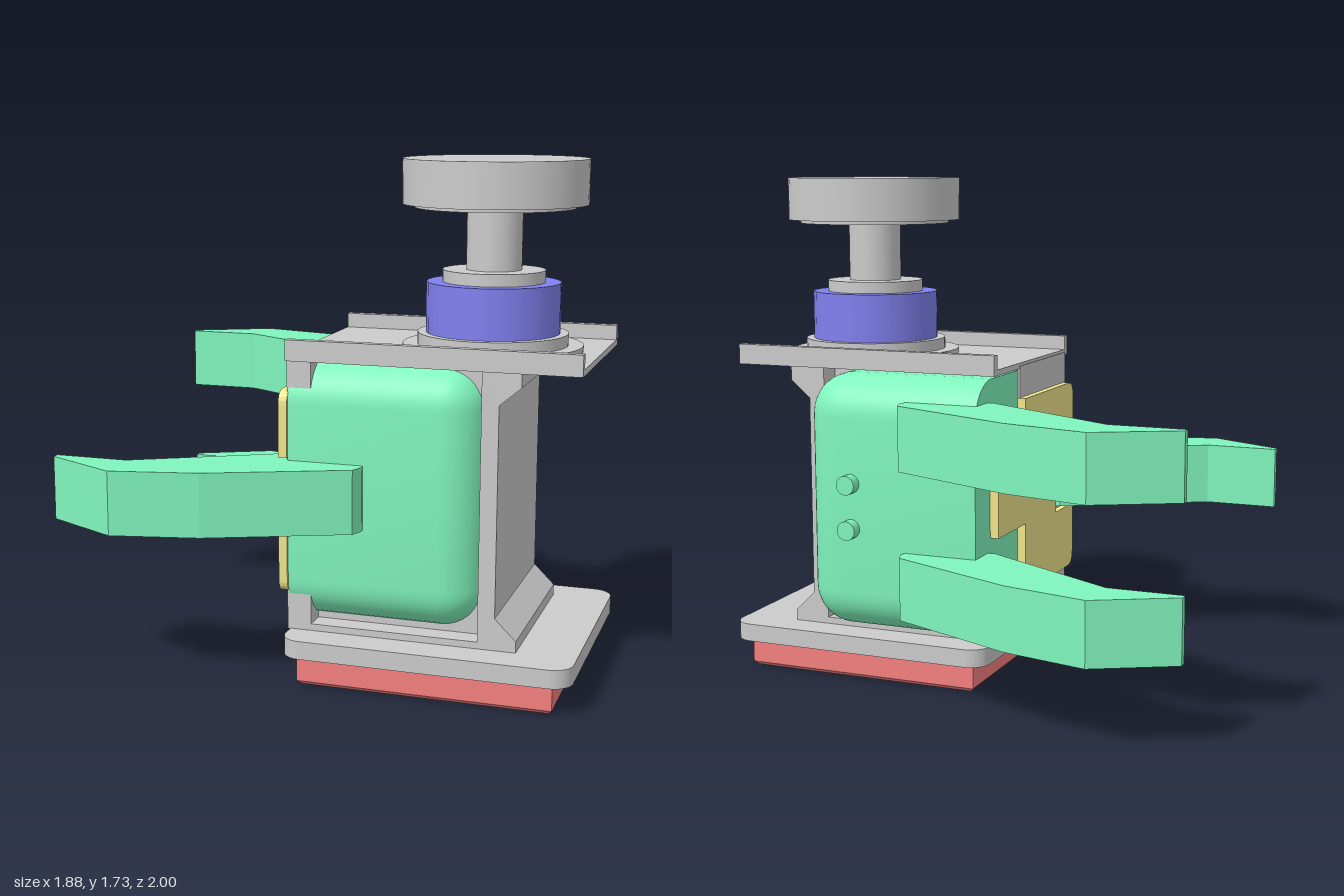
import * as THREE from 'three';
import { toCreasedNormals } from 'three/addons/utils/BufferGeometryUtils.js';
import { RoundedBoxGeometry } from 'three/addons/geometries/RoundedBoxGeometry.js';

const mat = (color) => new THREE.MeshStandardMaterial({ color });
const grey = mat(0xcccccc), green = mat(0x80f5bd), purple = mat(0x8080f0),
  red = mat(0xf58080), yellow = mat(0xf0e68c);

// Local frame: x runs from the finger side to the back, z across the jaws.
const CX = 0.61, CZ = 0.045;   // axis of the piston
const JAW_MID = -0.041;        // mirror plane between the two jaws

export function createModel() {
  const root = new THREE.Group();
  root.name = 'gripper';
  const tool = new THREE.Group();
  tool.name = 'gripperAssembly';
  tool.rotation.y = -Math.PI / 4;
  root.add(tool);

  const add = (name, geo, material) => {
    const mesh = new THREE.Mesh(geo, material);
    mesh.name = name;
    tool.add(mesh);
    return mesh;
  };
  const box = (name, material, x0, x1, y0, y1, z0, z1) => {
    const geo = new THREE.BoxGeometry(x1 - x0, y1 - y0, z1 - z0);
    geo.translate((x0 + x1) / 2, (y0 + y1) / 2, (z0 + z1) / 2);
    return add(name, geo, material);
  };
  const disc = (name, material, r, y0, y1, sides = 48) => {
    const geo = new THREE.CylinderGeometry(r, r, y1 - y0, sides);
    geo.translate(CX, (y0 + y1) / 2, CZ);
    return add(name, geo, material);
  };
  const polygon = (pts) => new THREE.Shape(pts.map(([x, y]) => new THREE.Vector2(x, y)));
  const extrude = (shape, depth) =>
    new THREE.ExtrudeGeometry(shape, { depth, bevelEnabled: false, curveSegments: 6 });
  // Extrudes an (x, z) outline between two heights
  const plan = (name, material, shape, y0, y1) => {
    const geo = extrude(shape, y1 - y0);
    geo.rotateX(Math.PI / 2);
    geo.translate(0, y1, 0);
    return add(name, geo, material);
  };

  // Foot pad with a chamfered lower edge
  const pad = new THREE.BoxGeometry(0.856, 0.1, 0.813, 1, 2, 1);
  const pp = pad.attributes.position;
  for (let i = 0; i < pp.count; i++) {
    const y = pp.getY(i);
    if (Math.abs(y) < 0.01) pp.setY(i, -0.036);
    if (y < -0.04) {
      pp.setX(i, pp.getX(i) - Math.sign(pp.getX(i)) * 0.014);
      pp.setZ(i, pp.getZ(i) - Math.sign(pp.getZ(i)) * 0.014);
    }
  }
  pad.translate(0.488, 0.05, 0.05);
  add('footPad', toCreasedNormals(pad, 0.3), red);

  // Rounded base plate
  const [x0, x1, z0, z1, r] = [0.007, 0.976, -0.396, 0.488, 0.07];
  const base = new THREE.Shape();
  base.absarc(x1 - r, z0 + r, r, -Math.PI / 2, 0);
  base.absarc(x1 - r, z1 - r, r, 0, Math.PI / 2);
  base.absarc(x0 + r, z1 - r, r, Math.PI / 2, Math.PI);
  base.absarc(x0 + r, z0 + r, r, Math.PI, Math.PI * 1.5);
  plan('basePlate', grey, base, 0.1, 0.162);

  // Housing: back wall flared at both ends, front wall and core
  const wall = extrude(polygon([[0.65, 0.16], [0.778, 0.16], [0.778, 0.2], [0.707, 0.27],
    [0.707, 0.97], [0.778, 1.03], [0.778, 1.09], [0.65, 1.09]]), 0.651);
  wall.translate(0, 0, -0.283);
  add('backWall', wall, grey);
  box('frontWall', grey, -0.003, 0.08, 0.16, 1.09, -0.08, 0.368);
  box('housingCore', grey, 0.02, 0.655, 0.16, 1.09, -0.2, 0.29);
  box('jawGuide', grey, 0.02, 0.655, 0.16, 0.185, -0.283, 0.368);

  // Top plate with a rail along each side
  box('topPlate', grey, 0, 0.973, 1.08, 1.1, -0.304, 0.396);
  box('rightRail', grey, 0, 0.973, 1.08, 1.15, -0.304, -0.274);
  box('leftRail', grey, 0, 0.973, 1.08, 1.15, 0.366, 0.396);

  // Piston stack
  disc('pistonFlange', grey, 0.3, 1.1, 1.118);
  disc('pistonSeat', grey, 0.25, 1.11, 1.157);
  disc('collar', purple, 0.223, 1.155, 1.325, 24);
  disc('collarCap', grey, 0.17, 1.32, 1.365);
  disc('pistonRod', grey, 0.092, 1.36, 1.57);
  disc('headRim', grey, 0.265, 1.568, 1.585);
  disc('pistonHead', grey, 0.305, 1.58, 1.728, 64);

  // Jaws: rounded block cut flat on the finger side and on the inside
  const finger = [[-0.757, 0.573], [-0.757, 0.546], [-0.505, 0.546], [-0.02, 0.27],
    [0.25, 0.3], [0.265, 0.4], [0.248, 0.445], [-0.205, 0.642], [-0.495, 0.708]];
  const mirrored = (s, z) => JAW_MID + s * (z - JAW_MID);
  for (const s of [1, -1]) {
    const side = s > 0 ? 'left' : 'right';
    const R = 0.14, front = 0.003, back = 0.65, outer = 0.378, inner = 0.004;
    const geo = new RoundedBoxGeometry(back - front + R, 0.878, outer - inner + R, 5, R);
    geo.translate((back + front - R) / 2, 0.637, mirrored(s, (outer + inner - R) / 2));
    const p = geo.attributes.position, cut = mirrored(s, inner);
    for (let i = 0; i < p.count; i++) {
      p.setX(i, Math.max(p.getX(i), front));
      p.setZ(i, s > 0 ? Math.max(p.getZ(i), cut) : Math.min(p.getZ(i), cut));
    }
    add(side + 'Jaw', toCreasedNormals(geo, 0.5), green);

    // One finger on the left, two on the right so that they interleave
    const outline = polygon(finger.map(([x, z]) => [x, mirrored(s, z)]));
    for (const [y0, y1] of s > 0 ? [[0.53, 0.745]] : [[0.28, 0.493], [0.782, 1.0]])
      plan(side + 'Finger', green, outline, y0, y1);
  }

  // Two studs on the right jaw
  for (const y of [0.56, 0.715]) {
    const stud = new THREE.CylinderGeometry(0.033, 0.033, 0.06, 16);
    stud.rotateX(Math.PI / 2);
    stud.translate(0.46, y, -0.47);
    add('jawStud', stud, green);
  }

  // Palm plate, with a notch for the left finger and a tab between the right ones
  const palm = new THREE.Shape();
  palm.moveTo(-0.09, 0.29);
  palm.lineTo(0.34, 0.29);
  palm.quadraticCurveTo(0.388, 0.29, 0.388, 0.34);
  palm.lineTo(0.388, 0.52);
  palm.lineTo(0.21, 0.52);
  palm.lineTo(0.21, 0.755);
  palm.lineTo(0.388, 0.755);
  palm.lineTo(0.388, 0.93);
  palm.quadraticCurveTo(0.388, 0.98, 0.34, 0.98);
  palm.lineTo(-0.09, 0.98);
  palm.lineTo(-0.09, 0.735);
  palm.lineTo(-0.335, 0.735);
  palm.lineTo(-0.335, 0.54);
  palm.lineTo(-0.09, 0.54);
  const palmGeo = extrude(palm, 0.03);
  palmGeo.rotateY(-Math.PI / 2);
  palmGeo.translate(0.003, 0, 0);
  add('palmPlate', palmGeo, yellow);

  return root;
}
